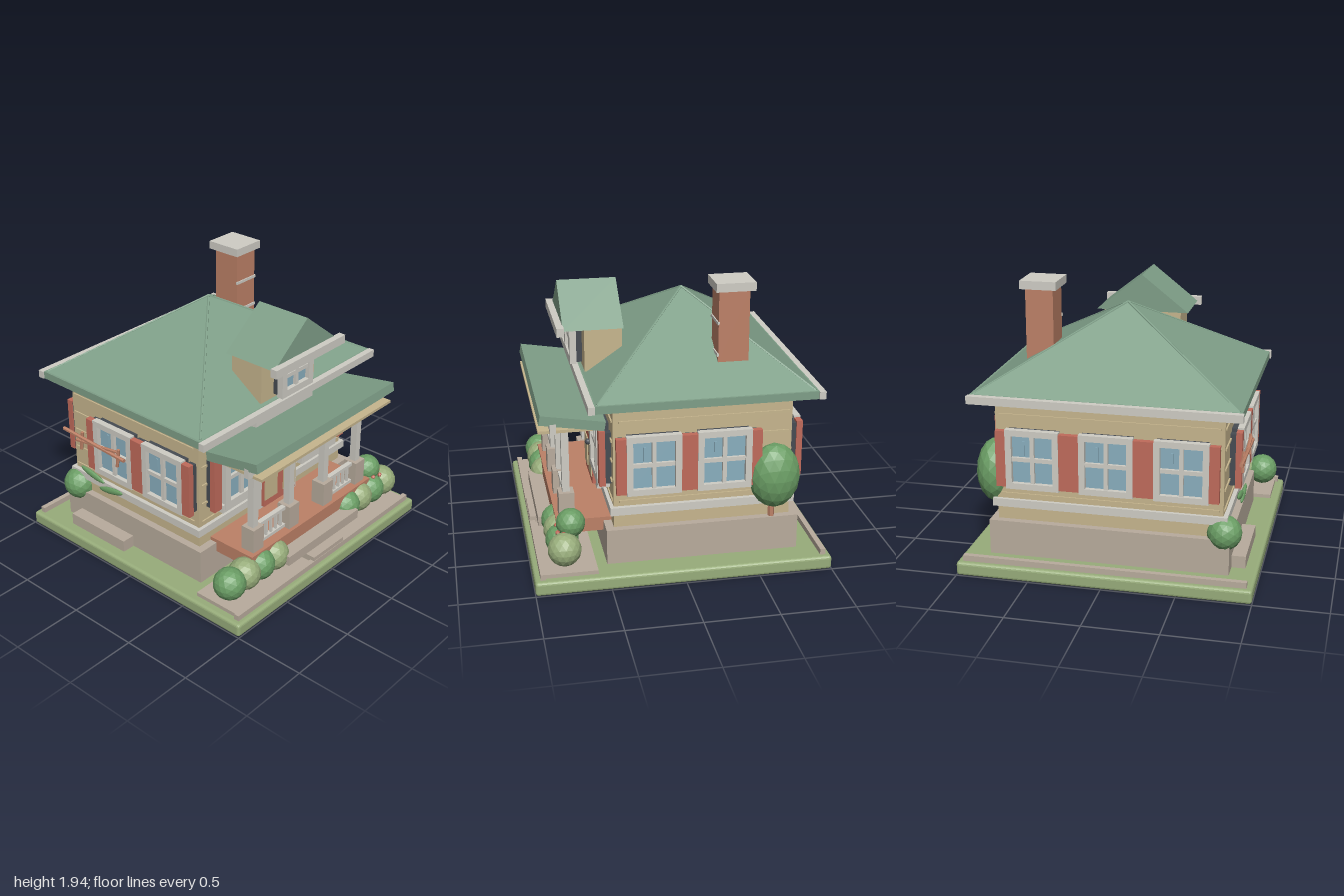
import * as THREE from 'three';
import { RoundedBoxGeometry } from 'three/addons/geometries/RoundedBoxGeometry.js';

const mat = (name, color) => {
  const m = new THREE.MeshStandardMaterial({ color });
  m.name = name;
  m.flatShading = true;
  return m;
};

export function createModel() {
  const house = new THREE.Group();
  house.name = 'house';

  const roofGreen = mat('roofGreen', 0x7f9f88), trim = mat('trimWhite', 0xcfcdc5);
  const siding = mat('sidingTan', 0xc7b68e), stone = mat('stone', 0xb9ac9d);
  const red = mat('paintedRed', 0xc06b5b), brick = mat('brick', 0xbd8167);
  const glass = mat('glassBlue', 0x8aafbf), leaf = mat('leafGreen', 0x6b9e65);
  const grass = mat('grassGreen', 0x98ad7b), dark = mat('darkSlate', 0x474c53);

  const add = (name, geo, m, x = 0, y = 0, z = 0, parent = house) => {
    const mesh = new THREE.Mesh(geo, m);
    mesh.name = name;
    mesh.position.set(x, y, z);
    parent.add(mesh);
    return mesh;
  };
  // Box given by its limits on each axis
  const box = (name, m, x0, x1, y0, y1, z0, z1, parent = house) =>
    add(name, new THREE.BoxGeometry(x1 - x0, y1 - y0, z1 - z0), m,
      (x0 + x1) / 2, (y0 + y1) / 2, (z0 + z1) / 2, parent);
  const rod = (name, m, a, b, r) => {
    const p = new THREE.Vector3(...a), d = new THREE.Vector3(...b).sub(p);
    const mesh = add(name, new THREE.CylinderGeometry(r, r, d.length(), 6), m);
    mesh.position.copy(p).addScaledVector(d, 0.5);
    mesh.quaternion.setFromUnitVectors(new THREE.Vector3(0, 1, 0), d.normalize());
    return mesh;
  };
  const bush = (name, m, x, y, z, rx, ry = rx, rz = rx) => {
    const b = add(name, new THREE.IcosahedronGeometry(1, 2), m, x, y, z);
    b.scale.set(rx, ry, rz);
    return b;
  };

  // Ground and paving
  add('lawn', new RoundedBoxGeometry(2, 0.095, 2, 2, 0.02), grass, 0, 0.0475, 0);
  box('frontPaving', stone, -0.94, 0.94, 0.09, 0.122, 0.58, 0.95);
  for (const z of [0.945, -0.945]) box('kerb', stone, -0.96, 0.96, 0.09, 0.135, z - 0.018, z + 0.018);
  box('lowerStep', stone, -0.165, 0.165, 0.1, 0.165, 0.6, 0.96);
  box('upperStep', stone, -0.39, 0.39, 0.2, 0.27, 0.6, 0.92);
  box('sideStep', stone, -0.915, -0.8, 0.09, 0.18, -0.67, -0.14);

  // Body
  box('foundation', stone, -0.82, 0.82, 0.09, 0.34, -0.8, 0.505);
  box('walls', siding, -0.77, 0.77, 0.34, 1.21, -0.75, 0.45);
  box('waterTable', trim, -0.8, 0.8, 0.435, 0.49, -0.775, 0.475);
  for (let i = 0; i < 5; i++) {
    const y = 0.525 + i * 0.14;
    box('sidingBoard', siding, -0.78, 0.78, y - 0.008, y + 0.008, -0.73, 0.41);
    box('sidingBoard', siding, -0.745, 0.745, y - 0.008, y + 0.008, -0.76, 0.46);
  }

  // Window facing +z, its back on z = 0
  const makeWindow = (w, h, border, shutters, offset = 0.215) => {
    const g = new THREE.Group();
    g.name = 'window';
    const W = w / 2 + border, H = h / 2 + border;
    const ring = new THREE.Shape([[-W, -H], [W, -H], [W, H], [-W, H]].map(p => new THREE.Vector2(...p)));
    const a = w / 2, b = h / 2;
    ring.holes.push(new THREE.Path([[-a, -b], [-a, b], [a, b], [a, -b]].map(p => new THREE.Vector2(...p))));
    box('windowBacking', dark, -W + 0.01, W - 0.01, -H + 0.01, H - 0.01, 0, 0.042, g);
    add('windowFrame', new THREE.ExtrudeGeometry(ring, { depth: 0.045, bevelEnabled: false }), trim, 0, 0, 0.04, g);
    box('pane', glass, -a, a, -b, b, 0.044, 0.053, g);
    box('mullion', trim, -0.014, 0.014, -b, b, 0.05, 0.075, g);
    box('transomBar', trim, -a, a, -0.014, 0.014, 0.05, 0.074, g);
    box('paneGlint', glass, -a * 0.5, -a * 0.38, b * 0.15, b * 0.75, 0.053, 0.06, g);
    for (const s of shutters) {
      const x = s * offset;
      box('shutterBacking', dark, x - 0.025, x + 0.025, -0.18, 0.18, 0, 0.042, g);
      box('shutter', red, x - 0.035, x + 0.035, -0.195, 0.195, 0.04, 0.082, g);
    }
    return g;
  };
  const place = (g, x, y, z, turn = 0) => {
    g.position.set(x, y, z);
    g.rotation.y = turn;
    house.add(g);
  };
  for (const s of [-1, 1]) {
    place(makeWindow(0.26, 0.34, 0.05, [s], 0.25), s * 0.42, 0.805, 0.45);
    box('windowSill', trim, s * 0.42 - 0.2, s * 0.42 + 0.2, 0.565, 0.625, 0.45, 0.53);
    for (const z of [0.19, -0.28]) place(makeWindow(0.28, 0.33, 0.042, [-1, 1]), s * 0.77, 0.8, z, s * Math.PI / 2);
  }
  for (const x of [-0.5, 0, 0.5]) place(makeWindow(0.28, 0.33, 0.042, [-1, 1]), x, 0.8, -0.75, Math.PI);

  // Door
  box('doorFrame', trim, -0.215, 0.215, 0.36, 1.03, 0.45, 0.485);
  box('door', red, -0.168, 0.168, 0.385, 0.985, 0.45, 0.51);
  box('doorTransom', glass, -0.168, 0.168, 0.985, 1.005, 0.45, 0.494);
  for (const s of [-1, 1]) for (const [y0, y1] of [[0.44, 0.655], [0.73, 0.865]])
    box('doorPanel', siding, s * 0.1 - 0.066, s * 0.1 + 0.066, y0, y1, 0.509, 0.518);
  add('doorKnob', new THREE.IcosahedronGeometry(0.022, 1), dark, 0.12, 0.69, 0.53);

  // Porch
  box('porchFloor', brick, -0.66, 0.66, 0.27, 0.365, 0.45, 0.82);
  for (const s of [-1, 1]) {
    for (const x of [0.565, 0.19]) {
      box('porchPier', stone, s * x - 0.052, s * x + 0.052, 0.33, 0.54, 0.69, 0.795);
      box('porchColumn', trim, s * x - 0.025, s * x + 0.025, 0.53, 1.03, 0.717, 0.767);
    }
    for (const y of [0.385, 0.525]) box('porchRail', trim, s * 0.3775 - 0.14, s * 0.3775 + 0.14, y - 0.012, y + 0.012, 0.725, 0.76);
    for (let i = 0; i < 5; i++) {
      const x = s * (0.2775 + i * 0.05);
      box('baluster', trim, x - 0.008, x + 0.008, 0.38, 0.525, 0.733, 0.752);
    }
  }
  box('porchCeiling', siding, -0.7, 0.7, 1.012, 1.032, 0.5, 0.925);
  box('porchBeam', trim, -0.74, 0.74, 1.02, 1.09, 0.81, 0.85);
  box('porchLedger', trim, -0.3, 0.3, 1.06, 1.165, 0.45, 0.54);
  add('porchRoof', new THREE.BoxGeometry(1.48, 0.065, 0.43), roofGreen, 0, 1.087, 0.705).rotation.x = -0.165;

  // Hipped roof: a four-sided cone turned square
  const hip = new THREE.CylinderGeometry(0, Math.SQRT1_2, 1, 4).toNonIndexed();
  hip.rotateY(Math.PI / 4);
  hip.scale(1.77, 0.5, 1.46);
  add('hipRoof', hip, roofGreen, 0, 1.5, -0.155);
  box('eaves', roofGreen, -0.895, 0.895, 1.2, 1.253, -0.89, 0.58);
  for (const z of [0.6, -0.91]) box('fascia', trim, -0.905, 0.905, 1.2, 1.253, z - 0.022, z + 0.022);
  for (const x of [-0.87, 0.87]) for (const z of [0.56, -0.87])
    rod('hipRidge', roofGreen, [x, 1.252, z], [0, 1.748, -0.155], 0.009);

  // Dormer
  box('dormerWalls', siding, -0.28, 0.28, 1.27, 1.59, 0.305, 0.56);
  const gable = new THREE.Shape([[-0.333, 1.575], [0.333, 1.575], [0, 1.837]].map(p => new THREE.Vector2(...p)));
  add('dormerRoof', new THREE.ExtrudeGeometry(gable, { depth: 0.405, bevelEnabled: false }), roofGreen, 0, 0, 0.3);
  box('dormerFascia', trim, -0.36, 0.36, 1.545, 1.605, 0.7, 0.75);
  place(makeWindow(0.23, 0.19, 0.048, []), 0, 1.43, 0.56);

  // Chimney
  box('chimney', brick, 0.435, 0.625, 1.4, 1.885, -0.48, -0.275);
  box('chimneyCap', trim, 0.405, 0.655, 1.88, 1.937, -0.513, -0.25);
  for (const y of [1.45, 1.665]) box('chimneyBand', trim, 0.43, 0.63, y - 0.01, y + 0.01, -0.28, -0.267);

  // Front hedge, alternating greens
  for (const s of [-1, 1]) for (let i = 0; i < 4; i++) {
    const light = (i % 2 === 0) === (s > 0);
    bush('hedgeBush', light ? grass : leaf, s * (0.85 - i * 0.148), 0.25, 0.79, 0.112);
  }
  bush('flowerBush', leaf, 0.74, 0.385, 0.735, 0.098);
  for (const [x, y, z] of [[0.66, 0.34, 0.8], [0.7, 0.355, 0.825], [0.78, 0.34, 0.825], [0.82, 0.345, 0.79]])
    add('flower', new THREE.IcosahedronGeometry(0.018, 0), red, x, y, z);

  // Side tree and rear corner bush
  bush('treeCrown', leaf, 0.81, 0.645, -0.63, 0.135, 0.228, 0.173);
  rod('treeTrunk', brick, [0.79, 0.3, -0.62], [0.79, 0.5, -0.62], 0.022);
  bush('cornerBush', leaf, -0.775, 0.365, -0.72, 0.118);

  // Climbing plant on the -x side
  rod('vineStem', brick, [-0.875, 0.85, -0.74], [-0.875, 0.82, -0.14], 0.014);
  rod('vineStem', brick, [-0.87, 0.8, -0.62], [-0.87, 0.86, -0.2], 0.012);
  for (const z of [-0.58, -0.22]) rod('vineBranch', brick, [-0.865, 0.74, z], [-0.865, 0.88, z + 0.02], 0.012);
  for (const [y, z, tilt] of [[0.55, -0.5, 0.2], [0.49, -0.32, -0.2]])
    bush('vineLeaf', leaf, -0.845, y, z, 0.015, 0.025, 0.12).rotation.x = tilt;
  return house;
}
